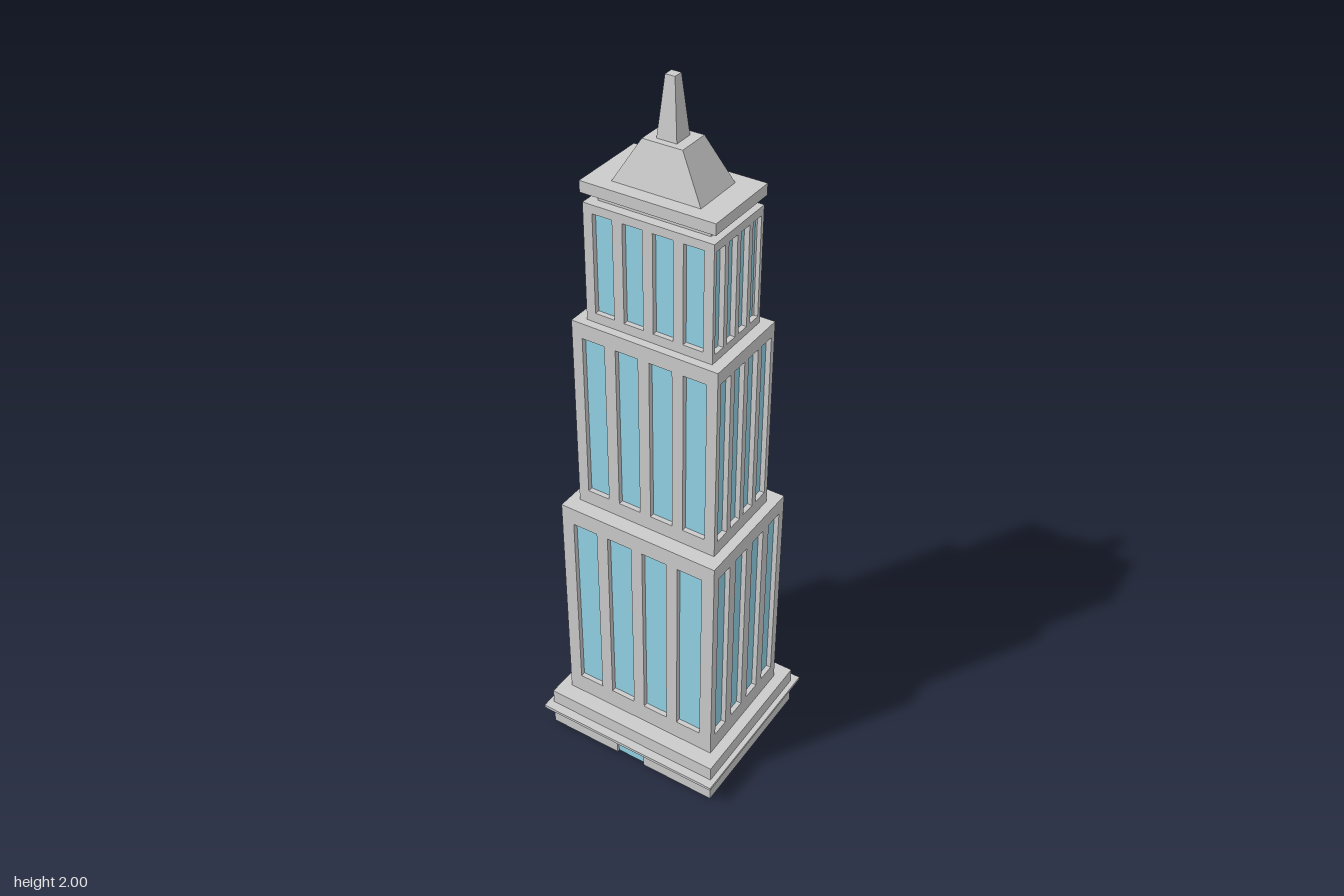
import * as THREE from 'three';

const stone = new THREE.MeshStandardMaterial({ color: 0xcccccc, flatShading: true });
const glass = new THREE.MeshStandardMaterial({ color: 0x93d3e8, flatShading: true });
const RECESS = 0.018;

function add(parent, name, geometry, material = stone) {
  const mesh = new THREE.Mesh(geometry, material);
  mesh.name = name;
  parent.add(mesh);
  return mesh;
}

// Box given by half width, half depth and its bottom and top heights
function slab(parent, name, hx, hz, y0, y1, material = stone) {
  const mesh = add(parent, name, new THREE.BoxGeometry(hx * 2, y1 - y0, hz * 2), material);
  mesh.position.y = (y0 + y1) / 2;
  return mesh;
}

// Box whose top is narrowed to a smaller rectangle
function taper(parent, name, [bx, bz], [tx, tz], y0, y1) {
  const mesh = slab(parent, name, bx, bz, y0, y1);
  const pos = mesh.geometry.attributes.position;
  for (let i = 0; i < pos.count; i++) {
    if (pos.getY(i) > 0) {
      pos.setX(i, Math.sign(pos.getX(i)) * tx);
      pos.setZ(i, Math.sign(pos.getZ(i)) * tz);
    }
  }
  mesh.geometry.computeVertexNormals();
}

function rectangle(Type, x0, y0, x1, y1) {
  return new Type([[x0, y0], [x1, y0], [x1, y1], [x0, y1]].map(([x, y]) => new THREE.Vector2(x, y)));
}

// One wall facing +z with four window openings, mitred at both ends
function wall(name, half, distance, y0, y1, win) {
  const group = new THREE.Group();
  group.name = name;
  const shape = rectangle(THREE.Shape, -half, y0, half, y1);
  for (let i = 0; i < 4; i++) {
    const x = (i - 1.5) * win.pitch;
    shape.holes.push(rectangle(THREE.Path, x - win.width / 2, win.y0, x + win.width / 2, win.y1));
    const pane = slab(group, 'windowPane', win.width / 2, 0.002, win.y0, win.y1, glass);
    pane.position.x = x;
    pane.position.z = distance - RECESS + 0.002;
  }
  const geometry = new THREE.ExtrudeGeometry(shape, { depth: RECESS, bevelEnabled: false });
  const pos = geometry.attributes.position;
  for (let i = 0; i < pos.count; i++) {
    const x = pos.getX(i);
    if (pos.getZ(i) < 1e-4 && Math.abs(x) > half - 1e-4) pos.setX(i, x - Math.sign(x) * RECESS);
  }
  geometry.computeVertexNormals();
  add(group, 'wallPanel', geometry).position.z = distance - RECESS;
  return group;
}

// A storey block: solid core with a windowed wall on each side
function tier(parent, name, hx, hz, y0, y1, frontWin, sideWin) {
  const group = new THREE.Group();
  group.name = name;
  slab(group, 'core', hx - RECESS, hz - RECESS, y0, y1);
  for (let i = 0; i < 4; i++) {
    const side = i % 2 === 1;
    const panel = side
      ? wall('sideWall', hz, hx, y0, y1, sideWin)
      : wall(i ? 'backWall' : 'frontWall', hx, hz, y0, y1, frontWin);
    panel.rotation.y = i * Math.PI / 2;
    group.add(panel);
  }
  parent.add(group);
}

// Base with a door recess in the front and the back
function base(parent) {
  const group = new THREE.Group();
  group.name = 'base';
  const hx = 0.267, hz = 0.223, door = 0.045, depth = 0.012, doorTop = 0.065;
  const half = [[-hx, -hz], [-door, -hz], [-door, -hz + depth], [door, -hz + depth], [door, -hz], [hx, -hz]];
  const plan = [...half, ...half.map(([x, y]) => [-x, -y])].map(([x, y]) => new THREE.Vector2(x, y));
  const lower = new THREE.ExtrudeGeometry(new THREE.Shape(plan), { depth: doorTop, bevelEnabled: false });
  lower.rotateX(-Math.PI / 2);
  add(group, 'lowerBase', lower);
  slab(group, 'upperBase', hx, hz, doorTop, 0.123);
  slab(group, 'baseLedge', 0.282, 0.249, 0.069, 0.078);
  for (const s of [1, -1]) {
    slab(group, 'door', door, 0.002, 0, doorTop, glass).position.z = s * (hz - depth + 0.002);
  }
  parent.add(group);
}

export function createModel() {
  const model = new THREE.Group();
  model.name = 'skyscraper';

  base(model);

  // Three stepped tiers
  tier(model, 'lowerTier', 0.236, 0.175, 0.123, 0.802,
    { width: 0.074, pitch: 0.108, y0: 0.182, y1: 0.751 },
    { width: 0.054, pitch: 0.083, y0: 0.178, y1: 0.756 });
  tier(model, 'middleTier', 0.208, 0.131, 0.802, 1.364,
    { width: 0.065, pitch: 0.097, y0: 0.845, y1: 1.321 },
    { width: 0.044, pitch: 0.0625, y0: 0.841, y1: 1.326 });
  tier(model, 'upperTier', 0.178, 0.108, 1.364, 1.683,
    { width: 0.055, pitch: 0.083, y0: 1.39, y1: 1.66 },
    { width: 0.037, pitch: 0.0525, y0: 1.386, y1: 1.66 });

  // Roof: recessed neck, cap, hipped roof and spire
  slab(model, 'neck', 0.153, 0.082, 1.683, 1.71);
  slab(model, 'cap', 0.183, 0.111, 1.708, 1.738);
  taper(model, 'hippedRoof', [0.12, 0.073], [0.054, 0.045], 1.738, 1.85);
  taper(model, 'spire', [0.027, 0.027], [0.013, 0.013], 1.85, 2);

  return model;
}
